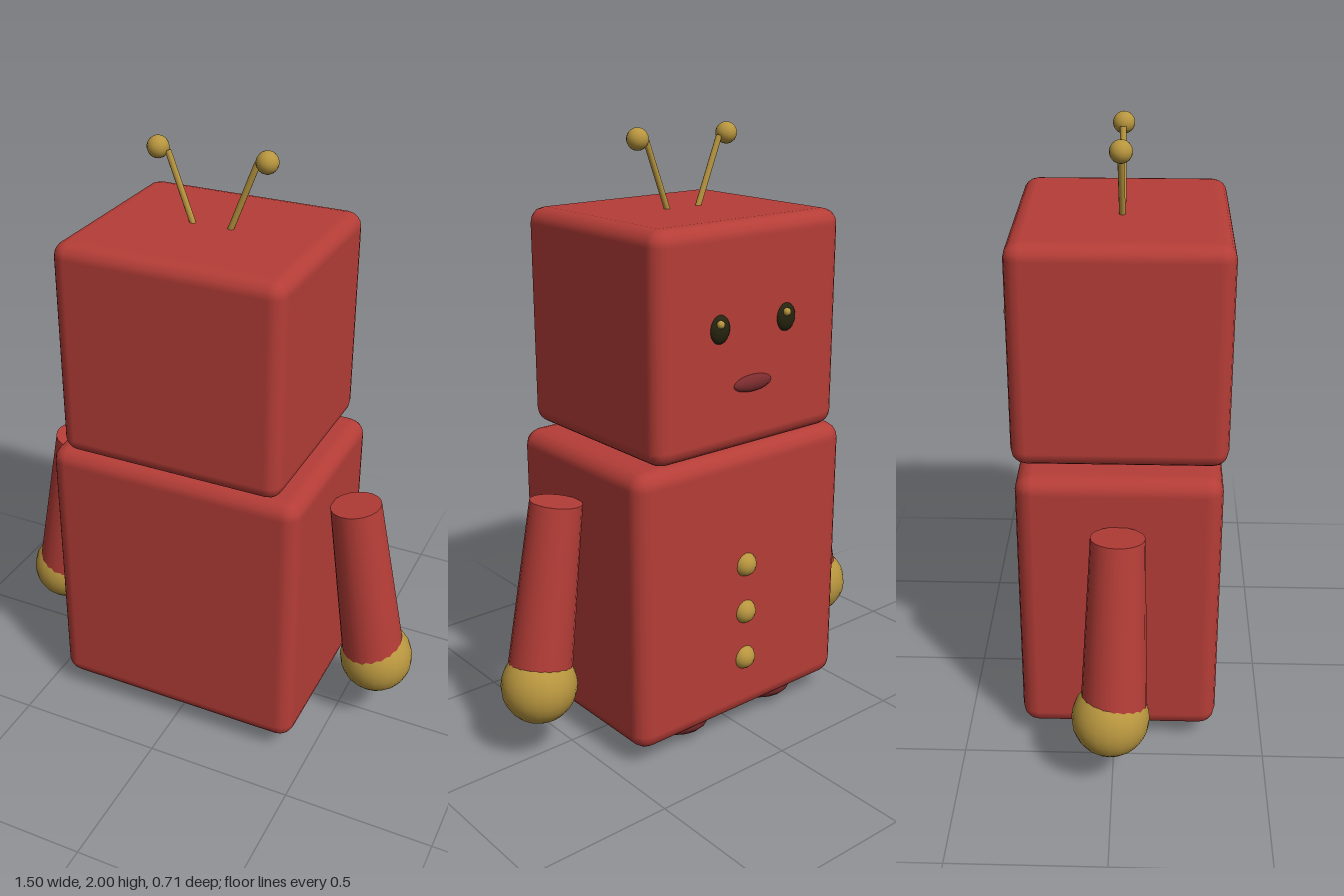
import * as THREE from 'three';
import { RoundedBoxGeometry } from 'three/addons/geometries/RoundedBoxGeometry.js';

const mat = (name, color) => {
  const m = new THREE.MeshStandardMaterial({ color });
  m.name = name;
  return m;
};

export function createModel() {
  const red = mat('red', 0xb53d37);
  const darkRed = mat('dark red', 0x7a2b2d);
  const gold = mat('gold', 0xb8963f);
  const black = mat('dark olive', 0x26240f);

  const model = new THREE.Group();
  model.name = 'robot';

  const add = (name, geometry, material, x, y, z) => {
    const mesh = new THREE.Mesh(geometry, material);
    mesh.name = name;
    mesh.position.set(x, y, z);
    model.add(mesh);
    return mesh;
  };
  // Ellipsoid with separate radii along each axis
  const ellipsoid = (name, material, [x, y, z], [rx, ry, rz], segments = 24) => {
    const geometry = new THREE.SphereGeometry(1, segments, Math.round(segments * 0.7));
    add(name, geometry, material, x, y, z).scale.set(rx, ry, rz);
  };
  // Tapered rod between two points
  const rod = (name, material, from, to, rFrom, rTo, sides) => {
    const a = new THREE.Vector3(...from), b = new THREE.Vector3(...to);
    const dir = b.clone().sub(a);
    const mid = a.clone().add(b).multiplyScalar(0.5);
    const geometry = new THREE.CylinderGeometry(rTo, rFrom, dir.length(), sides);
    const mesh = add(name, geometry, material, mid.x, mid.y, mid.z);
    mesh.quaternion.setFromUnitVectors(new THREE.Vector3(0, 1, 0), dir.normalize());
  };

  // Body and head blocks
  add('body', new RoundedBoxGeometry(0.88, 0.95, 0.65, 2, 0.055), red, 0, 0.54, 0.015);
  add('head', new RoundedBoxGeometry(0.76, 0.72, 0.68, 2, 0.05), red, 0, 1.385, 0.015);

  for (const side of [1, -1]) {
    const label = side > 0 ? 'left' : 'right';

    // Arm with ball hand
    rod(label + 'Arm', red, [side * 0.617, 0.27, 0.005], [side * 0.52, 0.868, 0.015], 0.107, 0.085, 20);
    ellipsoid(label + 'Hand', gold, [side * 0.623, 0.262, -0.005], [0.125, 0.125, 0.125], 20);

    // Foot peeking out below the body
    ellipsoid(label + 'Foot', darkRed, [side * 0.19, 0.075, -0.09], [0.14, 0.072, 0.205]);

    // Antenna with ball tip
    rod(label + 'Antenna', gold, [side * 0.055, 1.72, 0.016], [side * 0.148, 1.96, 0.012], 0.01, 0.01, 10);
    ellipsoid(label + 'AntennaTip', gold, [side * 0.18, 1.967, 0.014], [0.035, 0.035, 0.035], 16);

    // Eye with a small glint, both glints on the same side
    ellipsoid(label + 'Eye', black, [side * 0.137, 1.428, -0.322], [0.039, 0.046, 0.022], 16);
    ellipsoid(label + 'EyeGlint', gold, [side * 0.137 + 0.011, 1.448, -0.342], [0.013, 0.013, 0.013], 10);
  }

  // Mouth
  ellipsoid('mouth', darkRed, [0, 1.238, -0.322], [0.08, 0.028, 0.021], 20);

  // Row of buttons
  [0.613, 0.443, 0.273].forEach((y, i) =>
    ellipsoid('button' + (i + 1), gold, [0, y, -0.3], [0.042, 0.042, 0.041], 16));

  return model;
}
